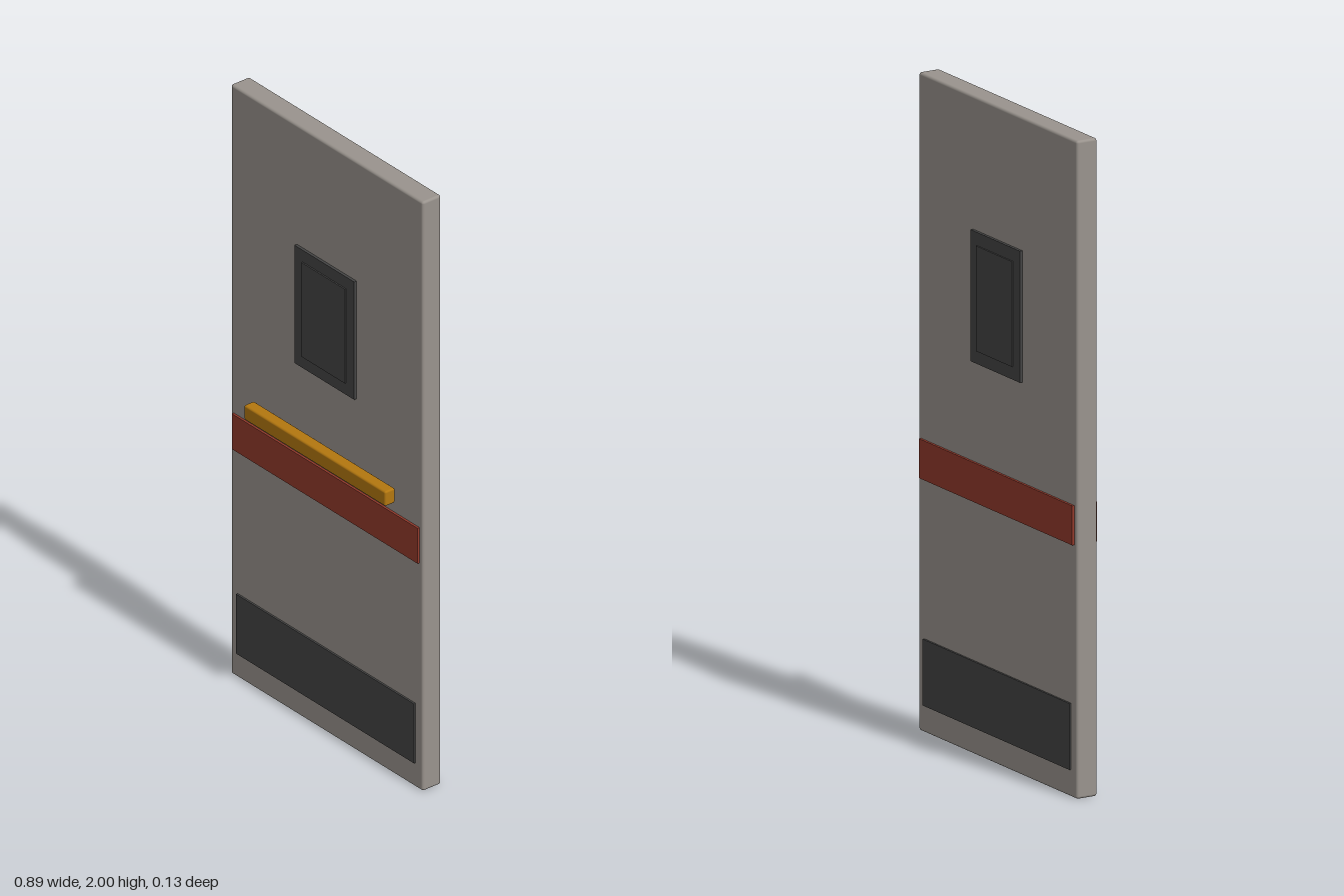
import * as THREE from 'three';
import { RoundedBoxGeometry } from 'three/addons/geometries/RoundedBoxGeometry.js';

const MID_Z = -0.0165; // centre plane of the door leaf
const HALF = 0.035; // half thickness of the leaf

function material(name, color) {
  const m = new THREE.MeshStandardMaterial({ color });
  m.name = name;
  return m;
}

export function createModel() {
  const group = new THREE.Group();
  group.name = 'doorPanel';

  const grey = material('warm grey', 0x99938d);
  const dark = material('charcoal', 0x444444);
  const red = material('brick red', 0x933a2c);
  const amber = material('amber', 0xb3770f);

  function add(name, geometry, mat, x, y, z) {
    const mesh = new THREE.Mesh(geometry, mat);
    mesh.name = name;
    mesh.position.set(x, y, z);
    group.add(mesh);
  }

  // Door leaf with softly bevelled edges
  add('doorLeaf', new RoundedBoxGeometry(0.886, 2, HALF * 2, 2, 0.008), grey, 0, 1, MID_Z);

  // Thin plate from just inside the leaf surface to `proud` above it, on both faces
  function plates(name, mat, width, y0, y1, proud) {
    const sink = 0.002;
    const depth = proud + sink;
    for (const [label, side] of [['Front', 1], ['Back', -1]]) {
      const z = MID_Z + side * (HALF + (proud - sink) / 2);
      add(name + label, new THREE.BoxGeometry(width, y1 - y0, depth), mat, 0, (y0 + y1) / 2, z);
    }
  }

  plates('kickPlate', dark, 0.82, 0.083, 0.285, 0.006);
  plates('stripe', red, 0.856, 0.77, 0.89, 0.0075);
  plates('windowFrame', dark, 0.275, 1.195, 1.595, 0.009);
  plates('windowPane', dark, 0.2, 1.235, 1.555, 0.0135);

  // Push bar standing off the front face
  add('pushBar', new RoundedBoxGeometry(0.652, 0.05, 0.038, 2, 0.006), amber, 0, 0.956, 0.046);

  return group;
}
